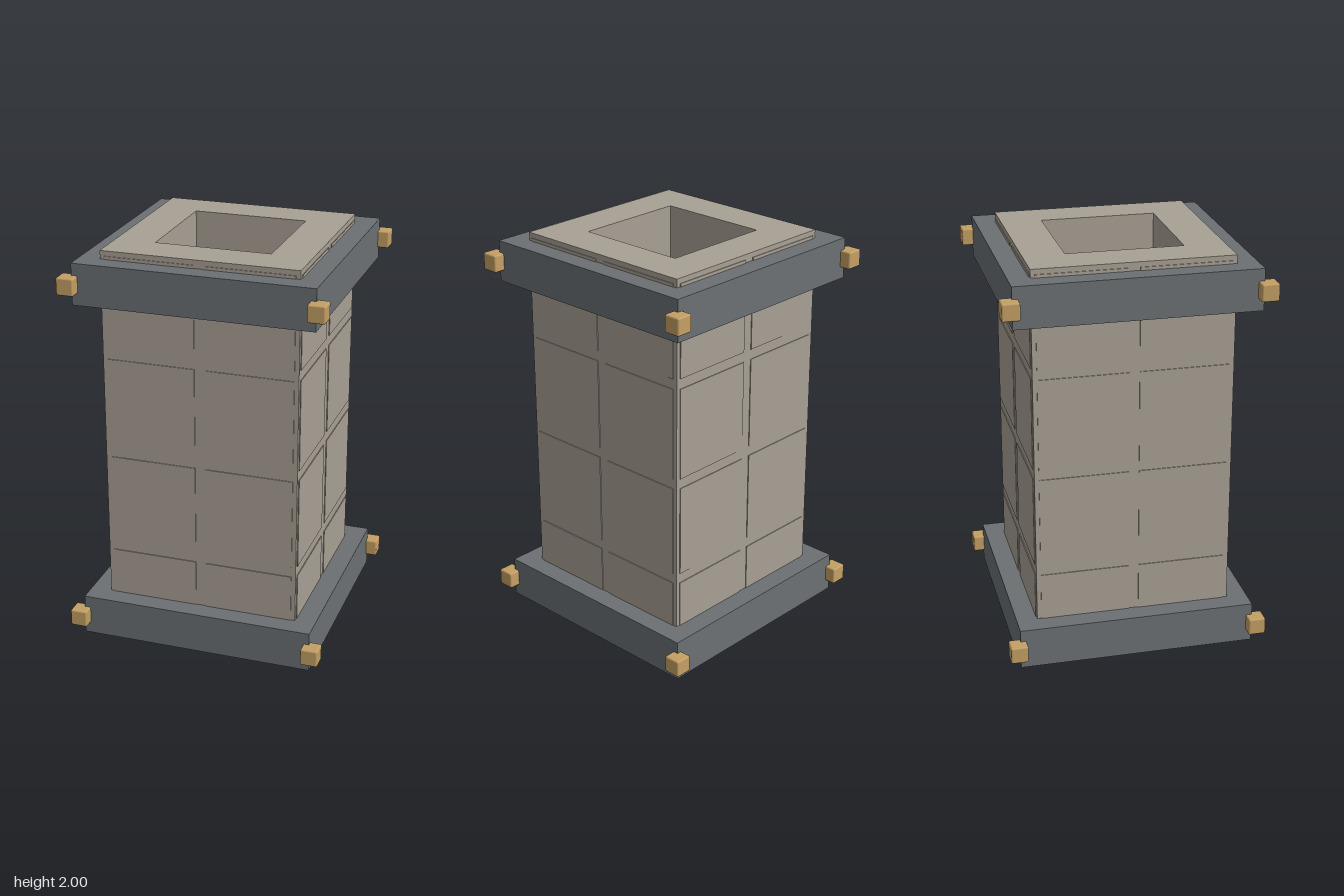
import * as THREE from 'three';
import { RoundedBoxGeometry } from 'three/addons/geometries/RoundedBoxGeometry.js';

const stone = new THREE.MeshStandardMaterial({ color: 0xa8a094 });
stone.name = 'stone';
const iron = new THREE.MeshStandardMaterial({ color: 0x6b7073 });
iron.name = 'iron';
const brass = new THREE.MeshStandardMaterial({ color: 0xc49f64 });
brass.name = 'brass';

// Square tube standing upright, from y0 to y1
function squareTube(outer, inner, y0, y1) {
  const square = (Type, h) => new Type([[-h, -h], [h, -h], [h, h], [-h, h]].map(([x, y]) => new THREE.Vector2(x, y)));
  const shape = square(THREE.Shape, outer);
  shape.holes.push(square(THREE.Path, inner));
  const geometry = new THREE.ExtrudeGeometry(shape, { depth: y1 - y0, bevelEnabled: false });
  return geometry.rotateX(-Math.PI / 2).translate(0, y0, 0);
}

function addMesh(parent, name, geometry, material, x = 0, y = 0, z = 0) {
  const mesh = new THREE.Mesh(geometry, material);
  mesh.name = name;
  mesh.position.set(x, y, z);
  parent.add(mesh);
}

export function createModel() {
  const model = new THREE.Group();
  model.name = 'hollowPillar';

  // Hollow stone shaft
  const half = 0.476;
  addMesh(model, 'shaft', squareTube(half, 0.28, 0, 2), stone);

  // Thin stone panels, two columns by four rows on each side
  const panel = new THREE.BoxGeometry(0.43, 0.45, 0.008);
  for (let side = 0; side < 4; side++) {
    const wall = new THREE.Group();
    wall.name = 'panelWall';
    wall.rotation.y = side * Math.PI / 2;
    for (const x of [-0.24, 0.24]) {
      for (let row = 0; row < 4; row++) addMesh(wall, 'panel', panel, stone, x, 0.25 + row * 0.5, half);
    }
    model.add(wall);
  }

  // Iron collars with a brass stud at each corner
  const collar = squareTube(0.577, 0.47, -0.1, 0.1);
  const stud = new RoundedBoxGeometry(0.084, 0.084, 0.084, 2, 0.008);
  for (const y of [0.14, 1.86]) {
    addMesh(model, 'collar', collar, iron, 0, y, 0);
    for (const x of [-0.59, 0.59]) {
      for (const z of [-0.59, 0.59]) addMesh(model, 'cornerStud', stud, brass, x, y, z);
    }
  }
  return model;
}
